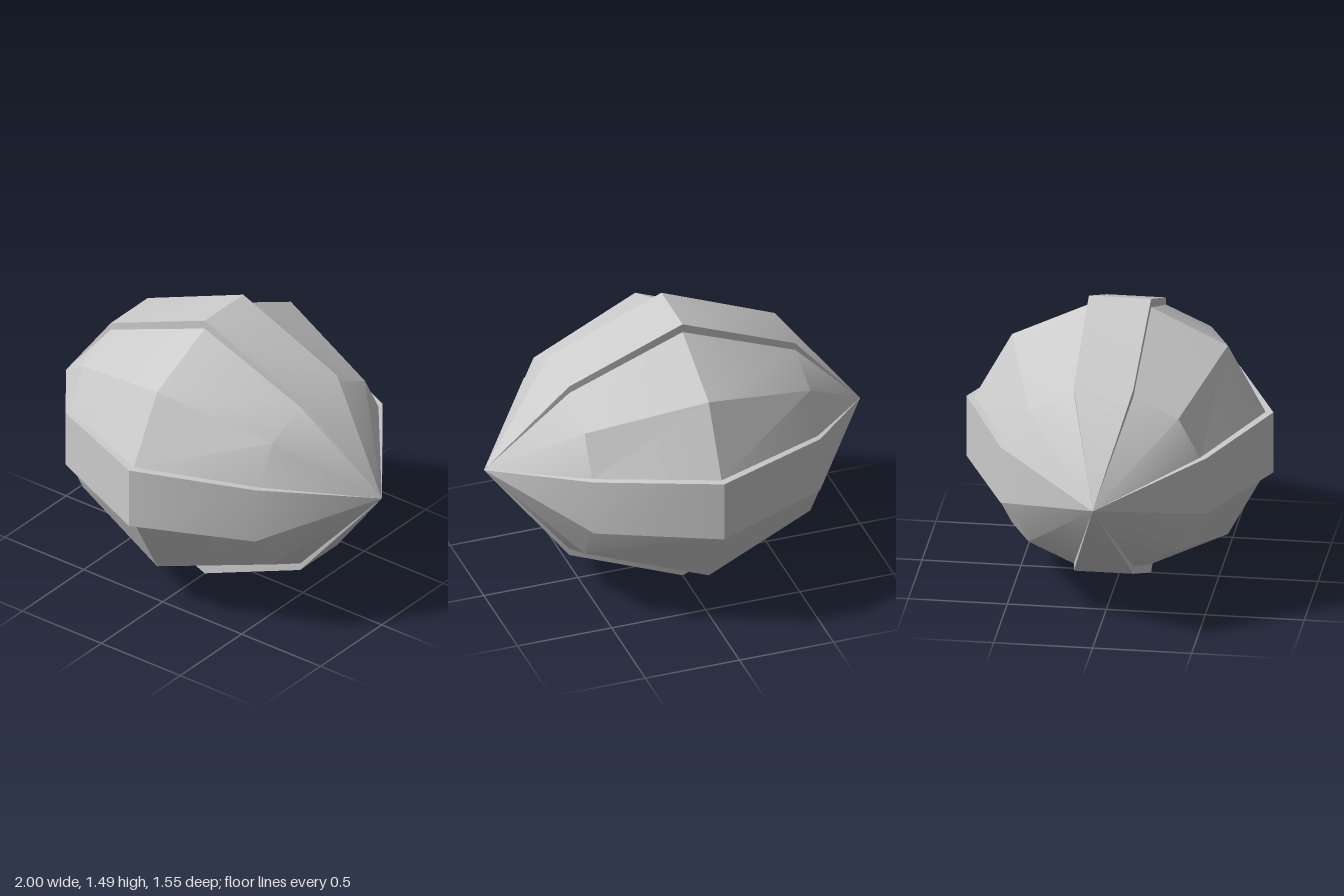
import * as THREE from 'three';
import { toCreasedNormals } from 'three/addons/utils/BufferGeometryUtils.js';

const CENTRE_Y = 0.743;

// Half sections along x. side/top ribs: [half width, base radius, raised radius]; corner: [z, y]
const MIDDLE = { x: 0, corner: [0.545, 0.512], side: [0.163, 0.735, 0.775], top: [0.157, 0.697, 0.743] };
const SHOULDER = { x: 0.6, corner: [0.378, 0.355], side: [0.151, 0.487, 0.521], top: [0.15, 0.46, 0.499] };
const TIP = { x: 1, corner: [0, 0], side: [0, 0, 0], top: [0, 0, 0] };
const SECTIONS = [
  { ...TIP, x: -1 }, { ...SHOULDER, x: -0.6 }, MIDDLE, SHOULDER, TIP,
];

// Outlines as [z, y] points, running from the front (+z) over the top
const sideRib = ({ side: [h, base, raised] }) => [[base, -h], [raised, -h], [raised, h], [base, h]];
const topRib = ({ top: [h, base, raised] }) => [[h, base], [h, raised], [-h, raised], [-h, base]];
const frontPanel = ({ side, top, corner }) => [[side[1], side[0]], corner, [top[0], top[1]]];
const backPanel = (s) => frontPanel(s).reverse().map(([z, y]) => [-z, y]);

// Skins one outline along all sections; turn = -1 gives the opposite side
function loftStrip(outline, turn) {
  const rows = SECTIONS.map((s) => outline(s).map(([z, y]) => [s.x, y * turn, z * turn]));
  const positions = [];
  for (let i = 0; i < rows.length - 1; i++) {
    for (let j = 0; j < rows[i].length - 1; j++) {
      const a = rows[i][j], b = rows[i + 1][j], c = rows[i + 1][j + 1], d = rows[i][j + 1];
      // The end tips close to a single point, so only one triangle is needed there
      if (i < rows.length - 2) positions.push(...a, ...b, ...c);
      else positions.push(...a, ...b, ...d);
      if (i > 0 && i < rows.length - 2) positions.push(...a, ...c, ...d);
    }
  }
  const geometry = new THREE.BufferGeometry();
  geometry.setAttribute('position', new THREE.Float32BufferAttribute(positions, 3));
  return toCreasedNormals(geometry, THREE.MathUtils.degToRad(31));
}

export function createModel() {
  const model = new THREE.Group();
  model.name = 'ribbedPod';
  const material = new THREE.MeshStandardMaterial({ color: 0xcccccc, side: THREE.DoubleSide });

  const add = (name, outline, turn) => {
    const mesh = new THREE.Mesh(loftStrip(outline, turn), material);
    mesh.name = name;
    mesh.position.y = CENTRE_Y;
    model.add(mesh);
  };

  // Four raised ribs
  add('frontRib', sideRib, 1);
  add('topRib', topRib, 1);
  add('backRib', sideRib, -1);
  add('bottomRib', topRib, -1);

  // Four faceted shell panels between the ribs
  add('upperFrontPanel', frontPanel, 1);
  add('upperBackPanel', backPanel, 1);
  add('lowerBackPanel', frontPanel, -1);
  add('lowerFrontPanel', backPanel, -1);

  return model;
}
